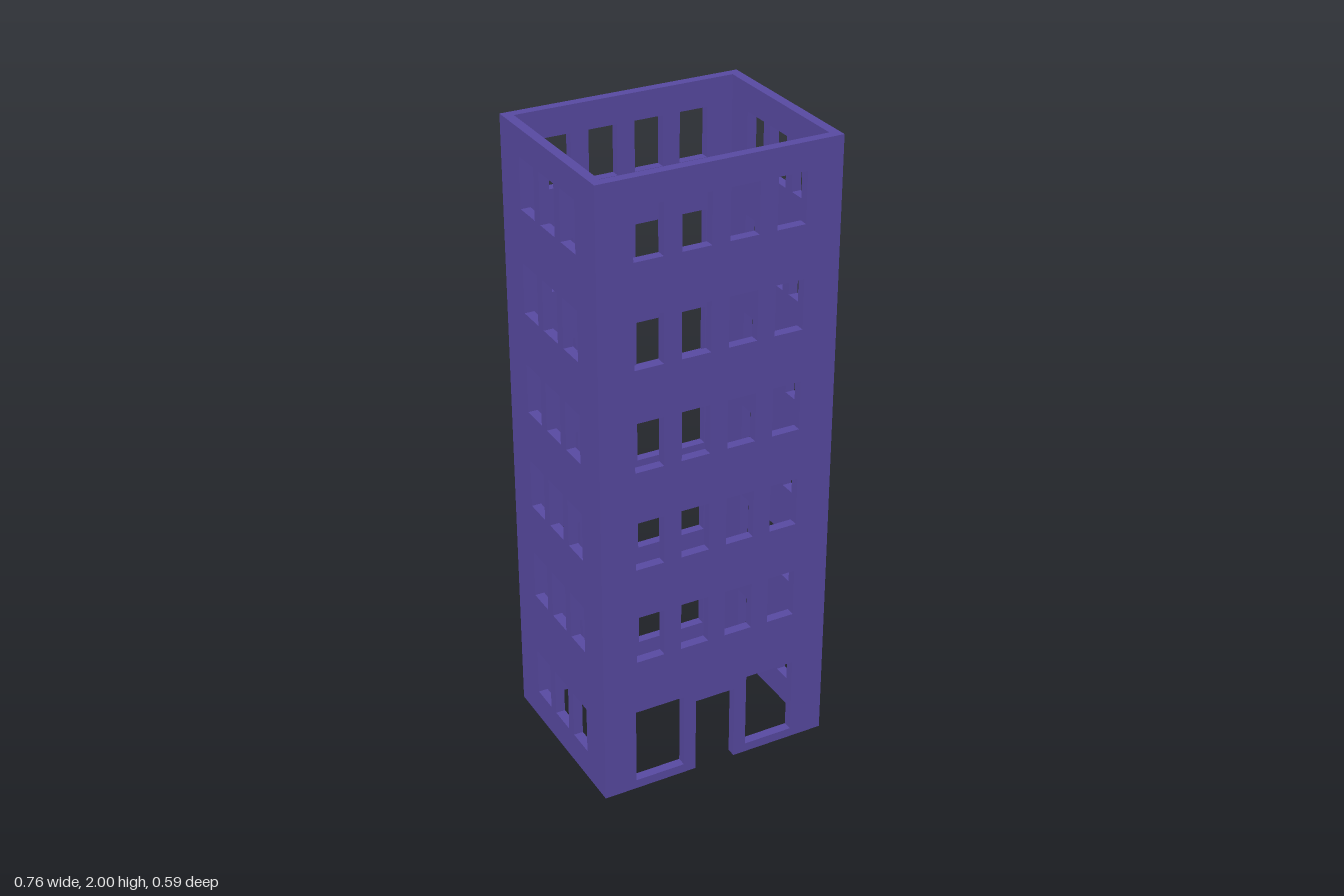
import * as THREE from 'three';

const HX = 0.38, HZ = 0.294, T = 0.03, H = 2;
const WIN_W = 0.092, WIN_H = 0.157;
const UPPER_ROWS = [0.466, 0.789, 1.112, 1.435, 1.758];
const GROUND_SILL = 0.098;
const WIDE_COLS = [-0.223, -0.075, 0.073, 0.221];
const SIDE_COLS = [-0.127, 0, 0.127];

function hole(x0, y0, x1, y1) {
  return new THREE.Path([[x0, y0], [x0, y1], [x1, y1], [x1, y0]].map(p => new THREE.Vector2(...p)));
}

// A wall slab pierced by a grid of windows, extruded along +z
function wall(name, outline, cols, rows, extraHoles, material) {
  const shape = new THREE.Shape(outline.map(p => new THREE.Vector2(...p)));
  for (const y of rows) {
    for (const x of cols) shape.holes.push(hole(x - WIN_W / 2, y, x + WIN_W / 2, y + WIN_H));
  }
  shape.holes.push(...extraHoles);
  const geometry = new THREE.ExtrudeGeometry(shape, { depth: T, bevelEnabled: false });
  const mesh = new THREE.Mesh(geometry, material);
  mesh.name = name;
  return mesh;
}

export function createModel() {
  const group = new THREE.Group();
  group.name = 'towerBlockShell';
  const purple = new THREE.MeshStandardMaterial({ color: 0x584aa2 });
  purple.name = 'purple wall';

  const rectangle = w => [[-w, 0], [w, 0], [w, H], [-w, H]];
  const allRows = [GROUND_SILL, ...UPPER_ROWS];

  // Front wall: doorway notch at the ground, a shop window on each side
  const frontOutline = [
    [-HX, 0], [-0.069, 0], [-0.069, 0.255], [0.066, 0.255],
    [0.066, 0], [HX, 0], [HX, H], [-HX, H],
  ];
  const shopWindows = [hole(-0.274, 0.03, -0.11, 0.285), hole(0.107, 0.03, 0.271, 0.285)];
  const front = wall('frontWall', frontOutline, WIDE_COLS, UPPER_ROWS, shopWindows, purple);
  front.position.z = HZ - T;

  // Back wall
  const back = wall('backWall', rectangle(HX), WIDE_COLS, allRows, [], purple);
  back.position.z = -HZ;
  group.add(front, back);

  // Side walls fit between the front and back walls
  for (const [name, x] of [['leftWall', HX - T], ['rightWall', -HX]]) {
    const side = wall(name, rectangle(HZ - T), SIDE_COLS, allRows, [], purple);
    side.rotation.y = Math.PI / 2;
    side.position.x = x;
    group.add(side);
  }
  return group;
}
